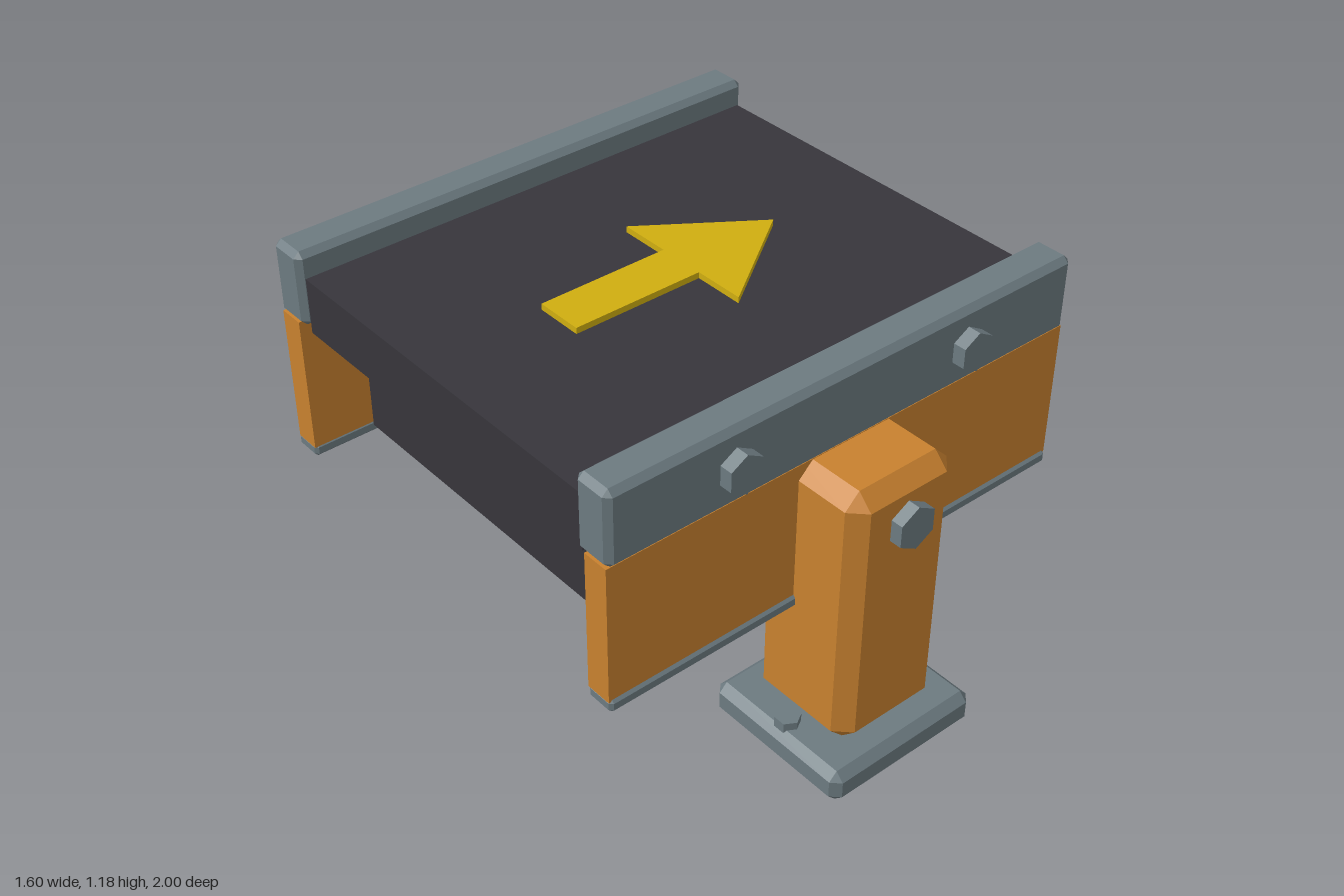
import * as THREE from 'three';
import { ConvexGeometry } from 'three/addons/geometries/ConvexGeometry.js';

const material = (name, color) => {
  const m = new THREE.MeshStandardMaterial({ color });
  m.name = name;
  return m;
};

// Box with every edge chamfered by c, given by its min and max corners
function chamferBox(min, max, c) {
  const centre = min.map((v, i) => (v + max[i]) / 2);
  const half = min.map((v, i) => (max[i] - v) / 2);
  const points = [];
  for (const sx of [-1, 1]) for (const sy of [-1, 1]) for (const sz of [-1, 1]) {
    for (let outer = 0; outer < 3; outer++) {
      const p = [sx, sy, sz].map((s, i) => centre[i] + s * (half[i] - (i === outer ? 0 : c)));
      points.push(new THREE.Vector3(...p));
    }
  }
  return new ConvexGeometry(points);
}

function plainBox(min, max) {
  const g = new THREE.BoxGeometry(max[0] - min[0], max[1] - min[1], max[2] - min[2]);
  return g.translate((min[0] + max[0]) / 2, (min[1] + max[1]) / 2, (min[2] + max[2]) / 2);
}

export function createModel() {
  const orange = material('orange paint', 0xc8812f);
  const steel = material('grey steel', 0x6c7a80);
  const rubber = material('dark rubber', 0x37353b);
  const yellow = material('yellow marking', 0xd0ae10);
  orange.flatShading = steel.flatShading = false;

  const model = new THREE.Group();
  model.name = 'conveyorSection';
  const add = (parent, name, geometry, mat) => {
    const mesh = new THREE.Mesh(geometry, mat);
    mesh.name = name;
    parent.add(mesh);
    return mesh;
  };

  // Hexagonal bolt head; axis along z unless upright
  const bolt = (parent, name, radius, height, x, y, z, upright = false) => {
    const g = new THREE.CylinderGeometry(radius, radius, height, 6).toNonIndexed();
    g.computeVertexNormals();
    if (!upright) g.rotateX(-Math.PI / 2);
    add(parent, name, g, steel).position.set(x, y, z);
  };

  // Belt and the body below it
  add(model, 'belt', plainBox([-0.78, 0.93, -0.605], [0.78, 1.105, 0.605]), rubber);
  add(model, 'beltBody', plainBox([-0.625, 0.545, -0.595], [0.625, 0.93, 0.595]), rubber);

  // Direction arrow pointing to +x
  const outline = [[-0.38, -0.075], [0.04, -0.075], [0.04, -0.237], [0.38, 0],
    [0.04, 0.237], [0.04, 0.075], [-0.38, 0.075]];
  const arrow = new THREE.ExtrudeGeometry(
    new THREE.Shape(outline.map(([x, y]) => new THREE.Vector2(x, y))),
    { depth: 0.02, bevelEnabled: false });
  arrow.rotateX(-Math.PI / 2).translate(0, 1.104, 0);
  add(model, 'directionArrow', arrow, yellow);

  // One side frame with its leg, turned round for the back
  for (const [name, turn] of [['frontSide', 0], ['backSide', Math.PI]]) {
    const side = new THREE.Group();
    side.name = name;
    side.rotation.y = turn;
    model.add(side);

    add(side, 'topRail', chamferBox([-0.8, 0.95, 0.605], [0.8, 1.185, 0.73], 0.018), steel);
    add(side, 'sidePanel', plainBox([-0.8, 0.52, 0.638], [0.8, 0.955, 0.72]), orange);
    add(side, 'bottomTrim', chamferBox([-0.8, 0.486, 0.635], [0.8, 0.528, 0.728], 0.01), steel);
    add(side, 'leg', chamferBox([-0.18, 0.105, 0.573], [0.18, 0.953, 0.933], 0.046), orange);
    add(side, 'foot', chamferBox([-0.263, 0, 0.505], [0.263, 0.105, 1], 0.026), steel);

    bolt(side, 'legBolt', 0.067, 0.08, 0, 0.815, 0.93);
    for (const s of [-1, 1]) {
      bolt(side, 'railBolt', 0.06, 0.08, s * 0.402, 1.068, 0.73);
      bolt(side, 'footBolt', 0.038, 0.05, s * 0.212, 0.105, 0.754, true);
    }
  }
  return model;
}
